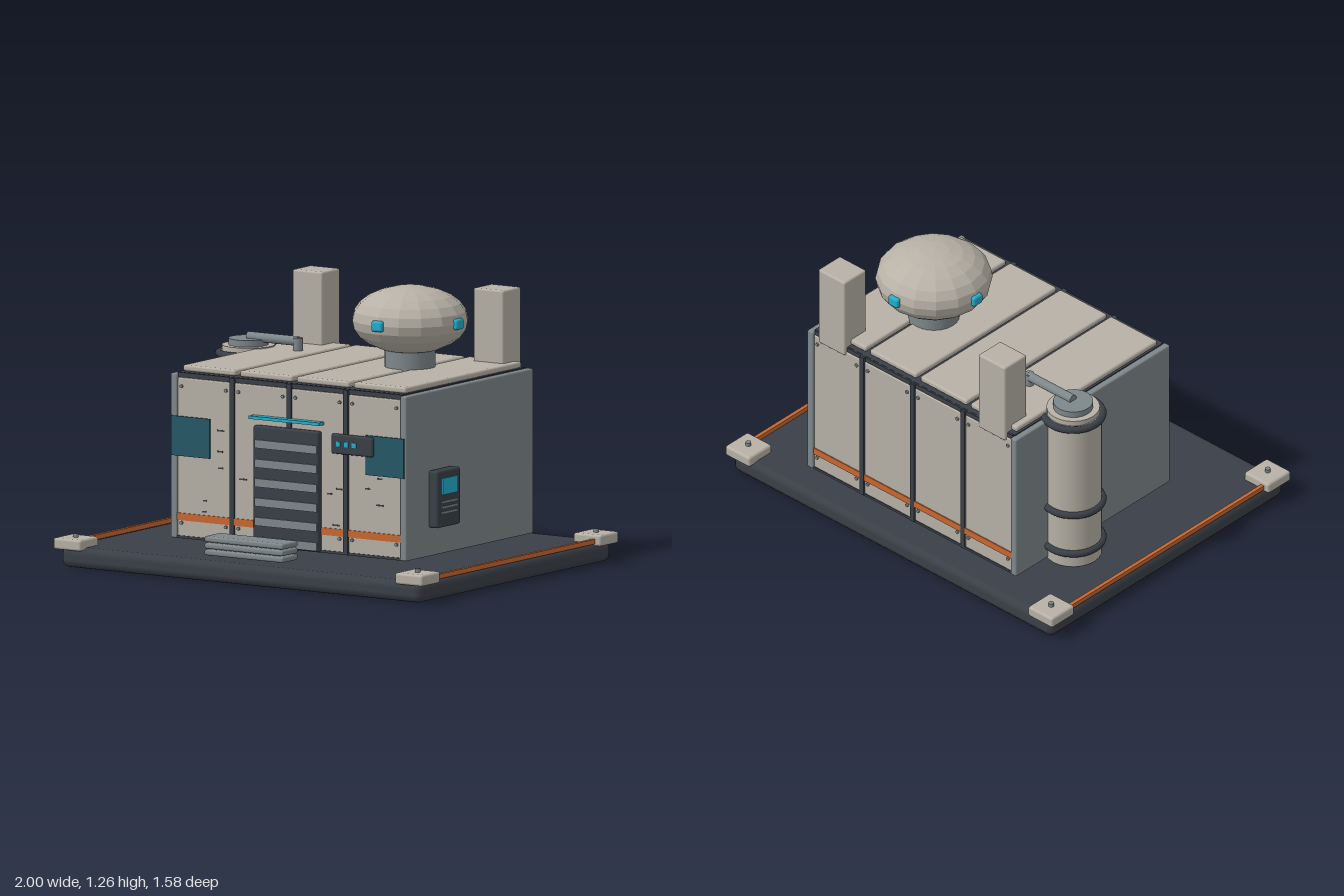
import * as THREE from 'three';
import { RoundedBoxGeometry } from 'three/addons/geometries/RoundedBoxGeometry.js';

const mat = (name, color, flat = false) => {
  const m = new THREE.MeshStandardMaterial({ color, flatShading: flat });
  m.name = name;
  return m;
};

export function createModel() {
  const root = new THREE.Group();
  root.name = 'outpostModule';

  const beige = mat('beigePanel', 0xb7b1a6);
  const domeBeige = mat('beigeFaceted', 0xb7b1a6, true);
  const steel = mat('steelGrey', 0x7e888b);
  const dark = mat('darkFrame', 0x3a3f47);
  const orange = mat('orangeTrim', 0xc8672f);
  const cyan = mat('cyanLight', 0x22aecb);
  const glass = mat('windowTeal', 0x265866);

  const add = (name, geo, m, x, y, z, parent = root) => {
    const mesh = new THREE.Mesh(geo, m);
    mesh.name = name;
    mesh.position.set(x, y, z);
    parent.add(mesh);
    return mesh;
  };
  // Box given by its limits on each axis; r rounds the edges
  const box = (name, m, [x0, x1], [y0, y1], [z0, z1], r = 0) => {
    const s = [x1 - x0, y1 - y0, z1 - z0];
    const geo = r ? new RoundedBoxGeometry(...s, 2, r) : new THREE.BoxGeometry(...s);
    return add(name, geo, m, (x0 + x1) / 2, (y0 + y1) / 2, (z0 + z1) / 2);
  };
  const cyl = (name, m, r, h, x, y, z, seg = 24) =>
    add(name, new THREE.CylinderGeometry(r, r, h, seg), m, x, y, z);

  // Base slab, corner feet and edge strips
  box('base', dark, [-0.975, 0.975], [0.005, 0.1], [-0.77, 0.77], 0.035);
  for (const sx of [-1, 1]) {
    for (const sz of [-1, 1]) {
      add('cornerFoot', new RoundedBoxGeometry(0.15, 0.052, 0.15, 2, 0.012), beige, sx * 0.925, 0.113, sz * 0.715);
      cyl('cornerBolt', steel, 0.013, 0.02, sx * 0.925, 0.146, sz * 0.715, 10);
    }
    add('edgeStrip', new THREE.BoxGeometry(0.018, 0.022, 1.3), orange, sx * 0.962, 0.109, 0);
  }

  // Building core and side walls
  box('core', dark, [-0.61, 0.61], [0.12, 0.872], [-0.615, 0.36]);
  for (const sx of [-1, 1]) {
    add('sideWall', new RoundedBoxGeometry(0.035, 0.748, 1.02, 2, 0.008), steel, sx * 0.621, 0.493, -0.128);
  }

  // Front and back cladding, frames, stripes and bolts
  const faces = [{ z: 0.372, s: 1 }, { z: -0.626, s: -1 }];
  const boltGeo = new THREE.CylinderGeometry(0.008, 0.008, 0.012, 8).rotateX(Math.PI / 2);
  for (const { z, s } of faces) {
    for (let i = 0; i < 4; i++) {
      const x = (i - 1.5) * 0.308;
      add('wallPanel', new RoundedBoxGeometry(0.286, 0.728, 0.03, 2, 0.006), beige, x, 0.484, z - s * 0.013);
      add('wallStripe', new THREE.BoxGeometry(0.286, 0.033, 0.006), orange, x, 0.218, z + s * 0.004);
      for (const dx of [-0.12, 0.12]) for (const y of [0.19, 0.81]) {
        add('panelBolt', boltGeo, steel, x + dx, y, z + s * 0.004);
      }
    }
    for (const x of [-0.308, 0, 0.308]) {
      add('verticalFrame', new THREE.BoxGeometry(0.024, 0.75, 0.03), dark, x, 0.495, z - s * 0.007);
    }
    add('topRail', new THREE.BoxGeometry(1.21, 0.022, 0.03), dark, 0, 0.86, z - s * 0.018);
    add('bottomRail', new THREE.BoxGeometry(1.21, 0.012, 0.03), dark, 0, 0.126, z - s * 0.009);
  }

  // Roof slats
  for (let i = 0; i < 4; i++) {
    add('roofSlat', new RoundedBoxGeometry(0.285, 0.028, 0.93, 2, 0.01), beige, (i - 1.5) * 0.308, 0.886, -0.13);
  }

  // Rear towers
  for (const sx of [-1, 1]) {
    add('rearTower', new RoundedBoxGeometry(0.163, 0.4, 0.145, 2, 0.01), beige, sx * 0.49, 1.031, -0.566);
  }

  // Dome on its neck, with four lamps
  const dc = { x: 0.263, y: 1.113, z: -0.205 };
  cyl('domeNeck', steel, 0.115, 0.14, dc.x, 0.955, dc.z, 24);
  add('dome', new THREE.SphereGeometry(0.264, 16, 12), domeBeige, dc.x, dc.y, dc.z).scale.y = 0.58;
  for (let i = 0; i < 4; i++) {
    const a = i * Math.PI / 2;
    const lamp = add('domeLamp', new RoundedBoxGeometry(0.06, 0.05, 0.03, 2, 0.012), cyan,
      dc.x + Math.sin(a) * 0.26, dc.y, dc.z + Math.cos(a) * 0.26);
    lamp.rotation.y = a;
  }

  // Side tank with rings, cap, stripe and outlet pipe
  const tx = -0.68, tz = -0.305;
  cyl('tank', beige, 0.13, 0.765, tx, 0.498, tz, 24);
  const ringGeo = new THREE.TorusGeometry(0.134, 0.017, 8, 28).rotateX(Math.PI / 2);
  for (const y of [0.19, 0.4, 0.868]) add('tankRing', ringGeo, dark, tx, y, tz);
  cyl('tankLid', beige, 0.12, 0.03, tx, 0.89, tz, 24);
  cyl('tankCap', steel, 0.09, 0.05, tx, 0.91, tz, 20);
  add('tankStripe', new THREE.BoxGeometry(0.068, 0.555, 0.009), orange, tx + 0.005, 0.395, tz + 0.13);
  cyl('outletPipe', steel, 0.022, 0.27, tx + 0.135, 0.942, tz, 12).rotation.z = Math.PI / 2;
  cyl('pipeSpout', steel, 0.022, 0.06, -0.412, 0.928, tz, 12);

  // Shutter door, light bar above it and entry steps
  box('door', dark, [-0.18, 0.175], [0.122, 0.67], [0.36, 0.4], 0.01);
  for (let i = 0; i < 6; i++) {
    const y = 0.588 - i * 0.088;
    box('doorSlat', steel, [-0.168, 0.168], [y - 0.019, y + 0.019], [0.395, 0.406]);
  }
  box('doorLight', cyan, [-0.193, 0.188], [0.7, 0.714], [0.375, 0.414]);
  for (let i = 0; i < 3; i++) {
    const y = 0.12 + i * 0.03;
    box('step', steel, [-0.217, 0.21], [y, y + 0.027], [0.612, 0.738], 0.01);
  }

  // Front windows and status panel
  for (const sx of [-1, 1]) {
    add('window', new THREE.BoxGeometry(0.207, 0.18, 0.008), glass, sx * 0.526, 0.585, 0.385);
  }
  box('statusPanel', dark, [0.24, 0.468], [0.578, 0.668], [0.37, 0.4], 0.01);
  for (const x of [0.285, 0.327, 0.37]) {
    box('statusLight', cyan, [x - 0.011, x + 0.011], [0.614, 0.636], [0.397, 0.405]);
  }

  // Terminal on the left wall
  box('terminal', dark, [0.635, 0.69], [0.25, 0.51], [0.02, 0.205], 0.012);
  box('terminalScreen', cyan, [0.688, 0.697], [0.4, 0.475], [0.055, 0.175]);
  for (const y of [0.318, 0.342, 0.366]) {
    box('terminalSlot', steel, [0.687, 0.693], [y - 0.004, y + 0.004], [0.05, 0.178]);
  }

  // Small wear marks on the front panels: x, y, width
  const marks = [[-0.37, 0.625, 0.04], [-0.375, 0.53, 0.03], [-0.37, 0.455, 0.03], [-0.455, 0.3, 0.02],
    [-0.46, 0.25, 0.025], [-0.25, 0.415, 0.04], [0.255, 0.25, 0.04], [0.275, 0.415, 0.04],
    [0.22, 0.39, 0.03], [0.45, 0.545, 0.03], [0.49, 0.48, 0.03], [0.425, 0.43, 0.03], [0.49, 0.36, 0.04]];
  for (const [x, y, w] of marks) {
    add('wearMark', new THREE.BoxGeometry(w, 0.007, 0.004), dark, x, y, 0.374);
  }

  return root;
}
